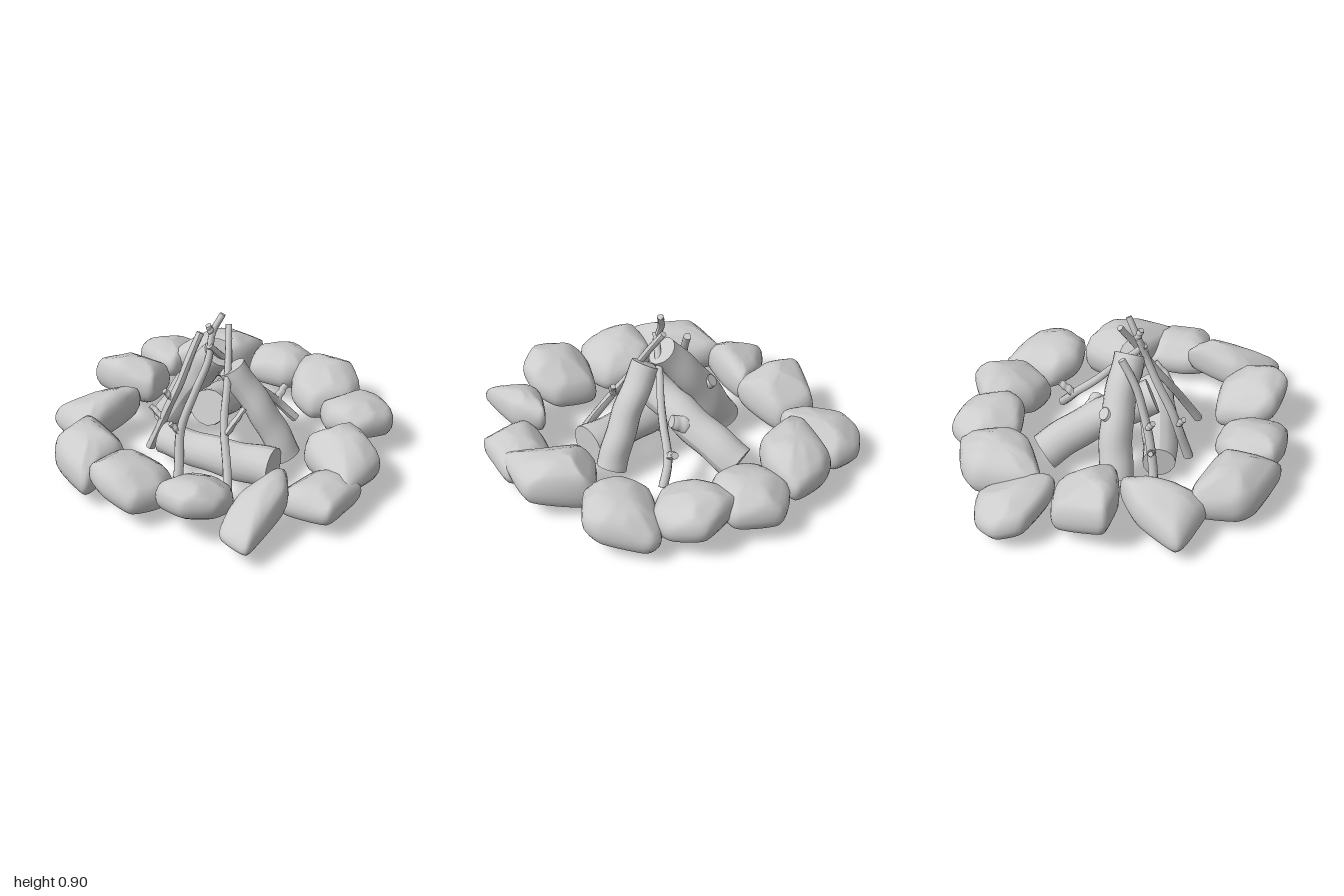
import * as THREE from 'three';
import { mergeGeometries } from 'three/addons/utils/BufferGeometryUtils.js';

const grey = new THREE.MeshStandardMaterial({ color: 0xcccccc, side: THREE.DoubleSide });
const V = (a) => new THREE.Vector3(...a);

function seeded(seed) {
  let s = seed * 7919 + 17;
  return () => ((s = (s * 16807) % 2147483647) / 2147483647);
}

// Boulder: a ground outline of [x, z] points stacked in rounded layers, then
// flattened against a few seeded planes. slope tips the whole stone up towards
// +x / +z, taper thickens it towards +x / +z; it spans y0 to y1.
function stone(seed, outline, y0, y1, slope = [0, 0], taper = [0, 0]) {
  const N = 56;
  const layers = [[0, 0], [0.45, 0], [0.72, 0.03], [0.9, 0.12], [0.98, 0.26], [1, 0.4], [0.98, 0.55],
    [0.92, 0.7], [0.82, 0.82], [0.66, 0.92], [0.45, 0.98], [0.22, 1], [0, 1]];
  const curve = new THREE.CatmullRomCurve3(outline.map(([x, z]) => V([x, 0, z])), true, 'catmullrom', 0.3);
  const edge = curve.getSpacedPoints(N).slice(0, N);
  const mid = edge.reduce((m, p) => m.addScaledVector(p, 1 / N), V([0, 0, 0]));
  const h = y1 - y0;
  const rnd = seeded(seed);
  const planes = Array.from({ length: 5 }, (_, k) => {
    const a = (k + rnd()) * Math.PI * 0.4, e = 0.75 + rnd() * 0.5;
    return V([Math.cos(a) * Math.cos(e), Math.sin(e), Math.sin(a) * Math.cos(e)]);
  });
  const pts = [];
  for (const [s, f] of layers) {
    for (const p of edge) {
      const dx = (p.x - mid.x) * s, dz = (p.z - mid.z) * s;
      const thick = 1 + taper[0] * dx + taper[1] * dz;
      pts.push(V([dx, h * (f * thick - 0.4), dz]));
    }
  }
  for (const n of planes) {
    const limit = Math.max(...pts.map((p) => p.dot(n))) * 0.9;
    for (const p of pts) {
      const over = p.dot(n) - limit;
      if (over > 0) p.addScaledVector(n, -over);
    }
  }
  for (const p of pts) p.y += slope[0] * p.x + slope[1] * p.z;
  const ys = pts.map((p) => p.y);
  const low = Math.min(...ys), scale = h / (Math.max(...ys) - low);
  const pos = [], index = [];
  for (const p of pts) pos.push(p.x + mid.x, y0 + (p.y - low) * scale, p.z + mid.z);
  for (let j = 0; j < layers.length - 1; j++) {
    for (let i = 0; i < N; i++) {
      const k = (i + 1) % N, a = j * N + i, b = j * N + k;
      if (j > 0) index.push(a, a + N, b);
      if (j < layers.length - 2) index.push(b, a + N, b + N);
    }
  }
  const g = new THREE.BufferGeometry();
  g.setAttribute('position', new THREE.Float32BufferAttribute(pos, 3));
  g.setIndex(index);
  g.computeVertexNormals();
  const mesh = new THREE.Mesh(g, grey);
  mesh.name = 'stone' + seed;
  return mesh;
}

// Tapered, slightly lumpy limb along a path with flat sawn ends
function limb(points, r0, r1, sides, lump) {
  const path = new THREE.CatmullRomCurve3(points.map(V));
  const steps = 24;
  const tube = new THREE.TubeGeometry(path, steps, 1, sides, false);
  const pos = tube.attributes.position;
  const p = new THREE.Vector3();
  for (let j = 0; j <= steps; j++) {
    const t = j / steps, c = path.getPointAt(t);
    for (let i = 0; i <= sides; i++) {
      const k = j * (sides + 1) + i, a = (i / sides) * Math.PI * 2;
      const r = (r0 + (r1 - r0) * t) * (1 + lump * (Math.sin(3 * a + 4 * t) * 0.6 + Math.sin(a + 15 * t)));
      p.fromBufferAttribute(pos, k).sub(c).multiplyScalar(r).add(c);
      pos.setXYZ(k, p.x, p.y, p.z);
    }
  }
  tube.computeVertexNormals();
  const caps = [0, 1].map((t) => {
    const c = path.getPointAt(t);
    const start = t * steps * (sides + 1);
    const rim = [], index = [];
    for (let i = 0; i <= sides; i++) rim.push(p.fromBufferAttribute(pos, start + i).clone());
    const g = new THREE.BufferGeometry().setFromPoints([c, ...rim]);
    for (let i = 1; i <= sides; i++) index.push(0, ...(t ? [i, i + 1] : [i + 1, i]));
    g.setIndex(index);
    g.setAttribute('uv', new THREE.Float32BufferAttribute(new Float32Array((sides + 2) * 2), 2));
    g.computeVertexNormals();
    return g;
  });
  return mergeGeometries([tube, ...caps]);
}

// A named log or twig made of a main limb and short side limbs
function wood(name, sides, lump, ...limbs) {
  const mesh = new THREE.Mesh(
    mergeGeometries(limbs.map(([pts, r0, r1]) => limb(pts, r0, r1, sides, lump))), grey);
  mesh.name = name;
  return mesh;
}

export function createModel() {
  const model = new THREE.Group();
  model.name = 'campfire';

  // Ring of stones
  const ring = new THREE.Group();
  ring.name = 'stoneRing';
  ring.add(
    stone(1, [[-.6, -.93], [-.47, -1], [-.3, -.95], [-.27, -.75], [-.37, -.55], [-.49, -.6], [-.63, -.78]], .06, .29, [0, .25]),
    stone(2, [[-.41, -.62], [-.36, -.77], [-.24, -.96], [-.1, -1], [.1, -.95], [.05, -.73], [-.08, -.61]], .1, .36, [0, .12], [.5, 0]),
    stone(3, [[.08, -.9], [.27, -.98], [.46, -.81], [.4, -.62], [.28, -.56], [.07, -.65]], .09, .32, [0, .12]),
    stone(4, [[.37, -.77], [.64, -.77], [.73, -.6], [.69, -.45], [.48, -.36], [.35, -.48], [.33, -.64]], .07, .33, [0, -.2]),
    stone(5, [[.54, -.34], [.73, -.55], [.83, -.54], [.95, -.32], [.94, -.2], [.77, -.08], [.59, -.16]], .06, .32, [0, .22]),
    stone(6, [[.53, .04], [.72, -.09], [.93, .18], [.84, .4], [.77, .49], [.64, .34], [.52, .18]], .06, .35, [0, .25], [0, -1.9]),
    stone(7, [[.48, .45], [.61, .28], [.85, .37], [.8, .53], [.71, .68], [.46, .6]], .06, .26, [.05, .05]),
    stone(8, [[.24, .67], [.45, .46], [.5, .65], [.39, .93], [.34, 1], [.19, .88]], .08, .33, [.1, -.15], [.8, -1.1]),
    stone(9, [[-.16, .65], [-.02, .48], [.19, .58], [.23, .72], [.17, .86], [0, .91], [-.16, .78]], .08, .36, [0, .42]),
    stone(10, [[-.56, .61], [-.47, .42], [-.29, .38], [-.14, .49], [-.15, .67], [-.29, .8], [-.47, .72]], .07, .32, [-.25, 0]),
    stone(11, [[-.83, .32], [-.74, .09], [-.6, .16], [-.43, .37], [-.5, .53], [-.58, .66], [-.79, .45]], .06, .33, [.08, -.05]),
    stone(12, [[-.95, -.05], [-.7, -.2], [-.49, -.22], [-.55, -.03], [-.71, .2], [-.84, .1]], .06, .31, [.08, 0], [1, 0]),
    stone(13, [[-.79, -.42], [-.61, -.62], [-.39, -.53], [-.42, -.23], [-.65, -.27], [-.79, -.37]], .08, .37, [-.1, .25]));
  model.add(ring);

  // Logs leaning together over one lying flat
  const logs = new THREE.Group();
  logs.name = 'logs';
  logs.add(
    wood('backLog', 16, .04,
      [[[-.01, .12, -.52], [.01, .24, -.28], [-.03, .38, .1]], .105, .1],
      [[[.04, .28, -.24], [.13, .33, -.17]], .06, .035]),
    wood('leftLog', 16, .04, [[[.4, .09, .04], [.27, .34, .04], [.09, .61, .03]], .085, .078]),
    wood('rightLog', 16, .04,
      [[[-.32, .11, -.2], [-.16, .4, -.14], [.01, .67, -.02]], .095, .085],
      [[[-.16, .38, -.14], [-.18, .45, -.22]], .065, .035]),
    wood('lyingLog', 16, .04,
      [[[-.29, .13, .06], [0, .12, .15], [.36, .12, .23]], .09, .115],
      [[[-.1, .12, .12], [-.11, .04, .05]], .045, .04]));
  model.add(logs);

  // Thin forked twigs
  const twigs = new THREE.Group();
  twigs.name = 'twigs';
  twigs.add(
    wood('rightTwig', 8, .1,
      [[[-.38, .02, 0], [-.29, .25, .01], [-.22, .42, -.01], [-.17, .56, -.03], [-.11, .73, -.1]], .027, .021],
      [[[-.25, .35, 0], [-.29, .41, .02]], .021, .016],
      [[[-.3, .22, .01], [-.38, .28, -.02]], .021, .015]),
    wood('frontRightTwig', 8, .1,
      [[[-.16, .02, .27], [-.16, .27, .2], [-.1, .48, .12], [-.03, .66, .06], [-.02, .8, .01], [.03, .9, -.02]], .028, .017],
      [[[-.16, .26, .2], [-.21, .33, .22]], .021, .015],
      [[[-.02, .79, .01], [-.04, .85, .03]], .02, .016]),
    wood('frontLeftTwig', 8, .1,
      [[[.145, .02, .43], [.12, .2, .33], [.08, .4, .2], [.08, .58, .09], [.055, .82, -.06]], .025, .018],
      [[[.1, .32, .25], [.14, .38, .23], [.19, .45, .18]], .02, .015]),
    wood('backLeftTwig', 8, .1,
      [[[.4, .12, -.31], [.31, .22, -.28], [.22, .36, -.18], [.1, .54, -.07], [-.03, .74, .05]], .026, .019],
      [[[.29, .25, -.27], [.33, .31, -.34]], .024, .02]));
  model.add(twigs);
  return model;
}
